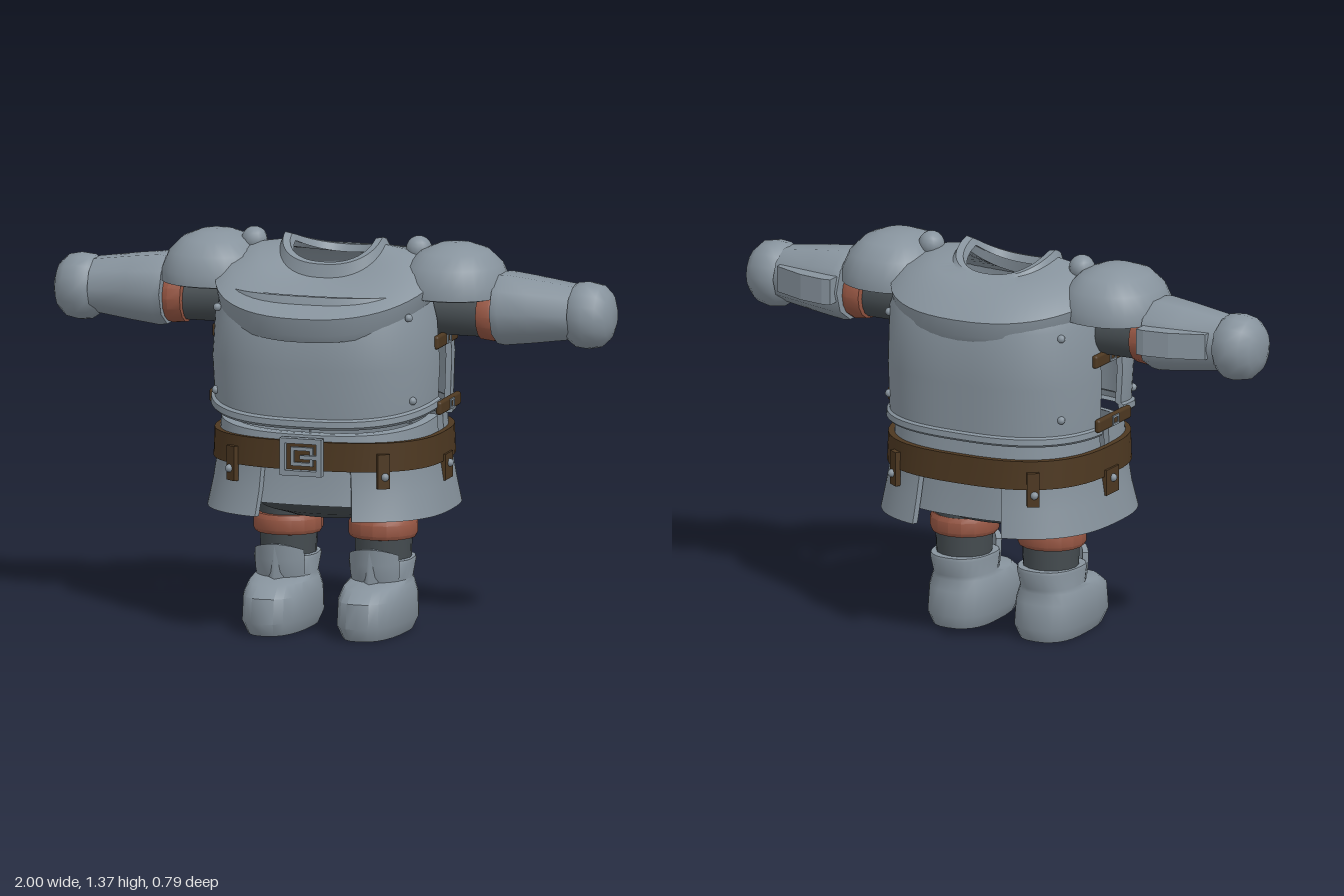
import * as THREE from 'three';
import { toCreasedNormals } from 'three/addons/utils/BufferGeometryUtils.js';
import { RoundedBoxGeometry } from 'three/addons/geometries/RoundedBoxGeometry.js';

const P = 0.75; // squareness of the torso sections (1 = ellipse)
const spow = (v, p) => Math.sign(v) * Math.pow(Math.abs(v), p);

// Stack of rings. Each profile entry: [yFront, halfWidth, zFront, zBack, ySide, yBack].
// Angle a runs from +z towards +x; capEnds closes the ends of a thick, partial shell.
function loft(profile, { a0 = -Math.PI, a1 = Math.PI, p = 1, n = 40, crease = 0.6, capEnds = false } = {}) {
  const m = profile.length, pos = [], idx = [];
  const at = ([y, rx, zf, zb, ys = y, yb = y], a) => {
    const s = Math.sin(a), c = Math.cos(a), w = Math.abs(c);
    return new THREE.Vector3(rx * spow(s, p), ys + ((c > 0 ? y : yb) - ys) * w, (c > 0 ? zf : zb) * spow(c, p));
  };
  const first = capEnds ? -1 : 0, last = capEnds ? n + 1 : n;
  for (let u = first; u <= last; u++) {
    const a = a0 + (a1 - a0) * Math.min(Math.max(u, 0), n) / n;
    for (let v = 0; v < m; v++) {
      const q = at(profile[v], a);
      if (u < 0 || u > n) {
        const k = v === m - 1 ? 0 : v;
        q.copy(at(profile[k], a)).lerp(at(profile[m - 2 - k], a), 0.5);
      }
      pos.push(q.x, q.y, q.z);
    }
  }
  for (let u = 0; u < last - first; u++) for (let v = 0; v < m - 1; v++) {
    const i = u * m + v, j = i + m;
    idx.push(i, j, j + 1, i, j + 1, i + 1);
  }
  const g = new THREE.BufferGeometry();
  g.setAttribute('position', new THREE.Float32BufferAttribute(pos, 3));
  g.setIndex(idx);
  return toCreasedNormals(g, crease);
}

// Plate with thickness: outer profile upwards, inner one back down
function plate(outer, opts = {}, t = 0.02, dy = 0) {
  const inner = outer.map(([y, rx, zf, zb, ys = y, yb = y]) => [y - dy, rx - t, zf - t, zb - t, ys - dy, yb - dy]).reverse();
  return loft([...outer, ...inner, outer[0]], { p: P, capEnds: true, ...opts });
}

// Rectangular frame with an opening
function frame(w, h, bar, depth) {
  const rect = (C, a, b) => new C([[-a, -b], [a, -b], [a, b], [-a, b]].map(([x, y]) => new THREE.Vector2(x, y)));
  const s = rect(THREE.Shape, w / 2, h / 2);
  s.holes.push(rect(THREE.Path, w / 2 - bar, h / 2 - bar));
  return new THREE.ExtrudeGeometry(s, { depth, bevelEnabled: false });
}

export function createModel() {
  const model = new THREE.Group();
  model.name = 'armour';
  const mat = (name, color, side = THREE.FrontSide) => {
    const m = new THREE.MeshStandardMaterial({ color, side });
    m.name = name;
    return m;
  };
  const steel = mat('steel', 0x87939d, THREE.DoubleSide);
  const leather = mat('brown leather', 0x4d3821);
  const cloth = mat('dark cloth', 0x454c50);
  const copper = mat('copper', 0x965643);
  const add = (parent, name, geo, m, x = 0, y = 0, z = 0) => {
    const mesh = new THREE.Mesh(geo, m);
    mesh.name = name;
    mesh.position.set(x, y, z);
    parent.add(mesh);
    return mesh;
  };
  const rivet = (parent, x, y, z, r = 0.014) => add(parent, 'rivet', new THREE.SphereGeometry(r, 10, 8), steel, x, y, z);
  const onCurve = (x, rx, rz) => rz * Math.pow(1 - Math.pow(x / rx, 2 / P), P / 2);

  // Breast and back plates, open at the sides
  add(model, 'breastPlate', plate([
    [0.745, 0.4, 0.352, 0.35, 0.8], [0.755, 0.408, 0.364, 0.35, 0.81], [0.775, 0.406, 0.362, 0.35, 0.83],
    [0.782, 0.396, 0.35, 0.35, 0.836], [0.95, 0.402, 0.362, 0.35], [1.1, 0.392, 0.358, 0.35], [1.2, 0.365, 0.32, 0.35],
  ], { a0: -1.47, a1: 1.47 }), steel);
  add(model, 'backPlate', plate([
    [0.75, 0.4, 0.35, 0.368], [0.758, 0.405, 0.35, 0.376], [0.778, 0.403, 0.35, 0.374],
    [0.784, 0.395, 0.35, 0.364], [0.95, 0.4, 0.35, 0.37], [1.15, 0.39, 0.35, 0.376], [1.21, 0.37, 0.35, 0.35],
  ], { a0: Math.PI - 1.45, a1: Math.PI + 1.45 }), steel);

  // Mantle draped around the neck opening, with raised collar
  add(model, 'mantle', plate([
    [1.075, 0.385, 0.385, 0.385, 1.2, 1.13], [1.135, 0.395, 0.396, 0.392, 1.25, 1.185],
    [1.185, 0.345, 0.31, 0.33, 1.3, 1.245], [1.22, 0.25, 0.21, 0.26, 1.325, 1.285],
    [1.235, 0.185, 0.145, 0.205, 1.335, 1.29], [1.28, 0.175, 0.135, 0.195, 1.36, 1.295],
    [1.285, 0.15, 0.115, 0.175, 1.355, 1.295],
  ], { p: 0.85, n: 56, capEnds: false }, 0.012, 0.025), steel);

  // Belly band in two halves
  for (const [name, a0, a1] of [['bellyFront', -1.56, 1.56], ['bellyBack', Math.PI - 1.5, Math.PI + 1.5]])
    add(model, name, plate([[0.66, 0.38, 0.33, 0.355], [0.72, 0.375, 0.32, 0.345, 0.755, 0.75], [0.725, 0.365, 0.31, 0.335, 0.76, 0.755]],
      { a0, a1 }), steel);

  // Skirt: two side plates, with a recessed panel at front and back
  const skirt = [[0.43, 0.422, 0.357, 0.392], [0.52, 0.404, 0.332, 0.378], [0.6, 0.391, 0.325, 0.366], [0.68, 0.386, 0.322, 0.362]];
  for (const s of [0, Math.PI]) {
    add(model, 'skirtSide', plate(skirt, { a0: s + 0.31, a1: s + Math.PI - 0.31 }), steel);
    add(model, 'skirtPanel', plate([[0.475, 0.385, 0.32, 0.35], [0.56, 0.37, 0.303, 0.342], [0.66, 0.36, 0.298, 0.338]],
      { a0: s - 0.43, a1: s + 0.43, n: 16 }), steel);
  }
  add(model, 'hips', loft([[0.4, 0, 0, 0], [0.4, 0.16, 0.13, 0.13], [0.425, 0.25, 0.2, 0.22], [0.47, 0.285, 0.24, 0.26],
    [0.56, 0.27, 0.23, 0.25], [0.6, 0, 0, 0]]), cloth);

  // Belt and buckle
  add(model, 'belt', plate([[0.6, 0.402, 0.336, 0.375], [0.7, 0.398, 0.336, 0.372]], { n: 56, capEnds: false }), leather);
  add(model, 'beltBuckle', frame(0.15, 0.13, 0.018, 0.028), steel, -0.005, 0.648, 0.332);
  add(model, 'buckleInner', frame(0.08, 0.065, 0.012, 0.012), steel, -0.005, 0.648, 0.334);
  add(model, 'bucklePin', new THREE.BoxGeometry(0.075, 0.014, 0.014), steel, 0.03, 0.648, 0.352);

  for (const side of [1, -1]) {
    const half = new THREE.Group();
    half.name = side > 0 ? 'leftHalf' : 'rightHalf';
    half.scale.x = side;
    model.add(half);

    // Side straps joining breast and back plates
    for (const [y, x] of [[1.022, 0.396], [0.795, 0.406]]) {
      add(half, 'sideStrap', new RoundedBoxGeometry(0.022, 0.046, 0.225, 2, 0.009), leather, x, y, -0.013);
      add(half, 'strapBuckle', frame(0.042, 0.034, 0.007, 0.008), steel, x + 0.008, y, -0.015).rotation.y = Math.PI / 2;
    }
    for (const [z, y] of [[0.235, 1.13], [0.22, 0.84], [-0.25, 1.13], [-0.25, 0.84]])
      rivet(half, onCurve(z, z > 0 ? 0.36 : -0.37, 0.397), y, z);

    // Tabs hanging from the belt
    add(half, 'sideTab', new THREE.BoxGeometry(0.02, 0.09, 0.085), leather, 0.398, 0.578, -0.017);
    rivet(half, 0.41, 0.588, -0.017);
    for (const [dir, rz] of [[1, 0.342], [-1, 0.382]]) {
      const z = dir * onCurve(0.27, 0.402, rz);
      add(half, 'beltTab', new THREE.BoxGeometry(0.042, 0.12, 0.02), leather, 0.27, 0.603, z).rotation.y = dir > 0 ? 0.6 : -0.6;
      rivet(half, 0.28, 0.585, z + dir * 0.008);
    }

    // Shoulder guard
    add(half, 'shoulderGuard', loft([[-0.015, 0.165, 0.18, 0.18], [-0.01, 0.185, 0.196, 0.196], [0.03, 0.185, 0.196, 0.196],
      [0.09, 0.16, 0.17, 0.17], [0.135, 0.115, 0.125, 0.125], [0.157, 0.06, 0.065, 0.065], [0.163, 0, 0, 0]],
    { p: 0.9, n: 28, crease: 0.8 }), steel, 0.428, 1.19, -0.025);
    add(half, 'shoulderStud', new THREE.SphereGeometry(0.045, 14, 10), steel, 0.295, 1.322, -0.03);

    // Arm pieces, lofted upright and laid along x
    const along = (name, profile, m, y, z, n, crease = 0.6) =>
      add(half, name, loft(profile, { n, crease }).rotateZ(-Math.PI / 2), m, 0, y, z);
    along('upperArm', [[0.3, 0, 0, 0], [0.3, 0.08, 0.08, 0.08], [0.6, 0.08, 0.08, 0.08], [0.6, 0, 0, 0]], cloth, 1.11, -0.025, 16);
    along('armBand', [[0.525, 0.07, 0.07, 0.07], [0.53, 0.092, 0.1, 0.1], [0.575, 0.097, 0.105, 0.105], [0.6, 0.09, 0.095, 0.095]],
      copper, 1.115, -0.025, 16);
    along('gauntlet', [[0.595, 0.08, 0.08, 0.08], [0.592, 0.124, 0.14, 0.14], [0.62, 0.128, 0.142, 0.142], [0.72, 0.116, 0.128, 0.128],
      [0.86, 0.096, 0.108, 0.108]], steel, 1.136, -0.025, 10, 0.75);
    const fin = new THREE.Shape([[0.6, -0.08], [0.6, -0.195], [0.63, -0.2], [0.72, -0.187], [0.84, -0.14], [0.84, -0.08]]
      .map(([x, z]) => new THREE.Vector2(x, z)));
    add(half, 'elbowFin', new THREE.ExtrudeGeometry(fin, { depth: 0.09, bevelEnabled: false }).rotateX(Math.PI / 2), steel, 0, 1.19, 0);
    along('fist', [[0.84, 0.09, 0.08, 0.08], [0.872, 0.113, 0.105, 0.105], [0.91, 0.117, 0.11, 0.11], [0.955, 0.108, 0.1, 0.1],
      [0.985, 0.08, 0.075, 0.075], [1, 0.04, 0.038, 0.038], [1, 0, 0, 0]], steel, 1.127, -0.022, 16, 0.9);

    // Leg and boot
    const leg = new THREE.Group();
    leg.name = 'leg';
    leg.position.x = 0.17;
    half.add(leg);
    add(leg, 'shin', new THREE.CylinderGeometry(0.105, 0.095, 0.24, 16), cloth, 0, 0.34, -0.025);
    add(leg, 'kneeBand', loft([[0.318, 0.09, 0.09, 0.09], [0.322, 0.113, 0.11, 0.11], [0.335, 0.12, 0.117, 0.117],
      [0.372, 0.12, 0.117, 0.117], [0.388, 0.112, 0.108, 0.108], [0.39, 0.09, 0.09, 0.09]], { n: 16 }), copper, 0, 0, -0.02);
    add(leg, 'boot', loft([[0, 0, 0, 0], [0, 0.1, 0.262, 0.14], [0.045, 0.12, 0.286, 0.157], [0.13, 0.119, 0.272, 0.142],
      [0.168, 0.108, 0.215, 0.132], [0.182, 0.101, 0.1, 0.134], [0.24, 0.111, 0.09, 0.15], [0.25, 0.108, 0.086, 0.147],
      [0.25, 0.07, 0.06, 0.1]], { p: 0.82, n: 24, crease: 0.8 }), steel);
    add(leg, 'shinGuard', plate([[0.15, 0.1, 0.105, 0.1], [0.2, 0.108, 0.125, 0.1, 0.21], [0.24, 0.11, 0.13, 0.1],
      [0.298, 0.108, 0.138, 0.1, 0.24]], { a0: -0.95, a1: 0.95, p: 1, n: 10 }), steel);
    add(leg, 'shinRidge', new THREE.CylinderGeometry(0.022, 0.026, 0.13, 4), steel, 0, 0.23, 0.115);
  }
  return model;
}
